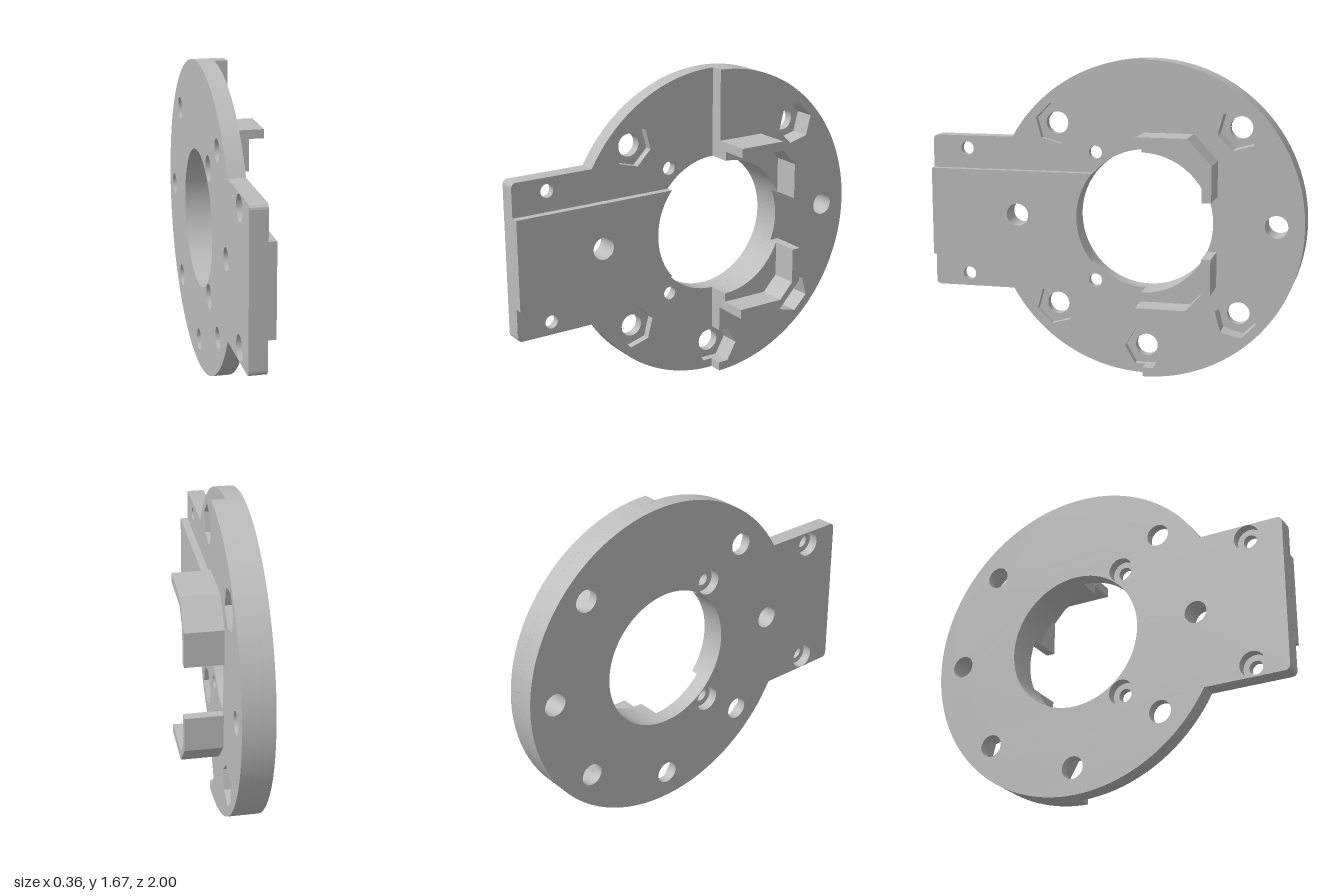
import * as THREE from 'three';
import { toCreasedNormals } from 'three/addons/utils/BufferGeometryUtils.js';

// Profiles are drawn in (u, y) with u = -z, then extruded along x.
const CU = 0.167, CY = 0.834;      // centre of the ring
const R = 0.833, BORE = 0.366;     // outer and bore radii
const BOLT = 0.69;                 // bolt circle radius
const HOLE = 0.059, HEX = 0.11, PIN = 0.035, COUNTERBORE = 0.066;
const BACK = -0.18, POCKET = -0.13, FACE = -0.09, RAIL = -0.05, STEP = -0.02, LEDGE = 0.03, TOP = 0.175;

const hexAngles = [45, 135, 225, 315, 270].map(THREE.MathUtils.degToRad);
const onCircle = (a) => [CU + BOLT * Math.cos(a), CY + BOLT * Math.sin(a)];
const pins = [];
for (const u of [-0.81, -0.105]) for (const s of [-1, 1]) pins.push([u, CY + s * 0.342]);

function circle([u, y], r) {
  return new THREE.Path().absarc(u, y, r, 0, Math.PI * 2, false);
}

// hexagonal nut pocket, two corners lying along the tangent of the bolt circle
function hexagon(a) {
  const [u, y] = onCircle(a);
  const pts = [];
  for (let i = 0; i < 6; i++) {
    const t = a + Math.PI / 2 + i * Math.PI / 3;
    pts.push(new THREE.Vector2(u + HEX * Math.cos(t), y + HEX * Math.sin(t)));
  }
  return new THREE.Path(pts);
}

// disc joined to the rectangular mounting tongue
function plateOutline() {
  const h = 0.41, c = 0.025, a = Math.asin(h / R);
  const s = new THREE.Shape();
  s.moveTo(-1 + c, CY - h);
  s.lineTo(CU - R * Math.cos(a), CY - h);
  s.absarc(CU, CY, R, -Math.PI + a, Math.PI - a, false);
  s.lineTo(-1 + c, CY + h);
  s.absarc(-1 + c, CY + h - c, c, Math.PI / 2, Math.PI, false);
  s.absarc(-1 + c, CY - h + c, c, Math.PI, Math.PI * 1.5, false);
  s.holes.push(circle([CU, CY], BORE), circle(onCircle(0), HOLE), circle(onCircle(Math.PI), HOLE));
  return s;
}

// thicker rear half of the ring, notched by the lowest nut pocket
function rearHalf() {
  const s = new THREE.Shape();
  const y = CY - BOLT, f = HEX * Math.cos(Math.PI / 6);
  s.moveTo(CU, CY - R);
  s.absarc(CU, CY, R, -Math.PI / 2, Math.PI / 2, false);
  s.lineTo(CU, CY + BORE);
  s.absarc(CU, CY, BORE, Math.PI / 2, -Math.PI / 2, true);
  s.lineTo(CU, y + f);
  s.lineTo(CU + HEX / 2, y + f);
  s.lineTo(CU + HEX, y);
  s.lineTo(CU + HEX / 2, y - f);
  s.lineTo(CU, y - f);
  s.holes.push(circle(onCircle(0), HOLE), hexagon(hexAngles[0]), hexagon(hexAngles[3]));
  return s;
}

// raised centre strip of the tongue, ending at the bore
function railShape() {
  const h = 0.235, a = Math.asin(h / BORE);
  const s = new THREE.Shape();
  s.moveTo(-1, CY - h);
  s.lineTo(CU - BORE * Math.cos(a), CY - h);
  s.absarc(CU, CY, BORE, Math.PI + a, Math.PI - a, true);
  s.lineTo(-1, CY + h);
  s.holes.push(circle(onCircle(Math.PI), HOLE));
  return s;
}

// bent retaining wall, side = 1 upper, -1 lower
function wallShape(side) {
  const pts = [[CU, 0.462], [0.428, 0.462], [0.553, 0.329], [0.553, 0.143],
    [0.505, 0.143], [0.505, 0.329], [0.428, 0.413], [CU, 0.413]];
  return new THREE.Shape(pts.map(([u, d]) => new THREE.Vector2(u, CY + side * d)));
}

// ledge filling the space between a wall and the bore
function ledgeShape(side) {
  const a = Math.acos((0.505 - CU) / BORE);
  const s = new THREE.Shape();
  s.moveTo(CU, CY + side * 0.413);
  s.lineTo(0.428, CY + side * 0.413);
  s.lineTo(0.505, CY + side * 0.329);
  s.absarc(CU, CY, BORE, side * a, side * Math.PI / 2, side < 0);
  return s;
}

export function createModel() {
  const group = new THREE.Group();
  group.name = 'mountingFlange';
  const grey = new THREE.MeshStandardMaterial({ color: 0xbcbcbc });
  grey.name = 'lightGrey';

  function add(name, shape, x0, x1) {
    let geo = new THREE.ExtrudeGeometry(shape, { depth: x1 - x0, bevelEnabled: false, curveSegments: 48 });
    geo.translate(0, 0, x0);
    geo.rotateY(Math.PI / 2);
    geo = toCreasedNormals(geo, 0.4);
    const mesh = new THREE.Mesh(geo, grey);
    mesh.name = name;
    group.add(mesh);
  }

  // back layer: bolt holes and counterbores
  const back = plateOutline();
  hexAngles.forEach((a) => back.holes.push(circle(onCircle(a), HOLE)));
  pins.forEach((p) => back.holes.push(circle(p, COUNTERBORE)));
  add('basePlateBack', back, BACK, POCKET);

  // front layer: nut pockets and pin holes
  const front = plateOutline();
  hexAngles.forEach((a) => front.holes.push(hexagon(a)));
  pins.forEach((p) => front.holes.push(circle(p, PIN)));
  add('basePlateFront', front, POCKET, FACE);

  add('rearHalfRing', rearHalf(), FACE, STEP);
  add('tongueRail', railShape(), FACE, RAIL);

  for (const side of [1, -1]) {
    const label = side > 0 ? 'upper' : 'lower';
    add(label + 'RetainingWall', wallShape(side), STEP, TOP);
    add(label + 'Ledge', ledgeShape(side), STEP, LEDGE);
  }
  return group;
}
